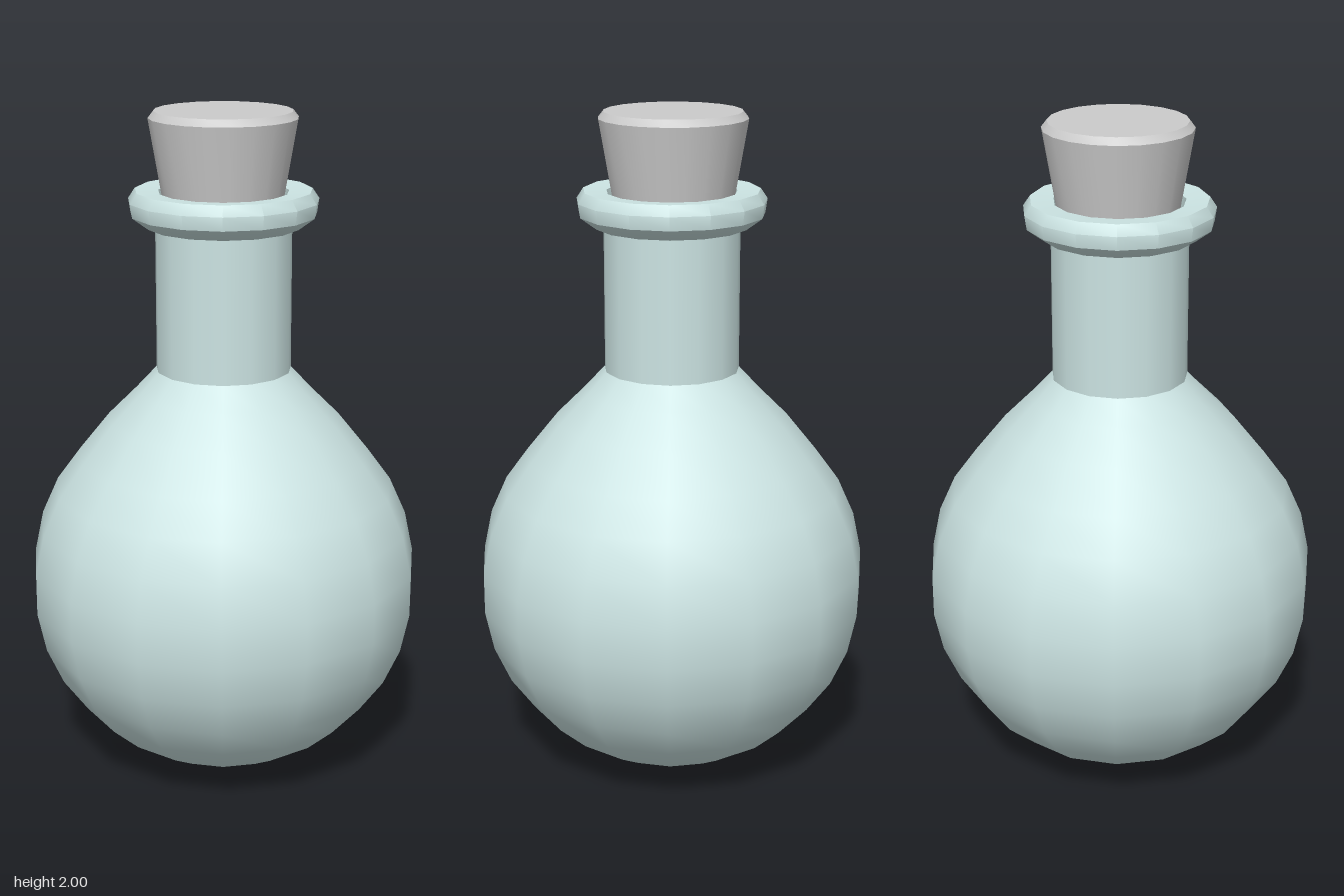
import * as THREE from 'three';
import { toCreasedNormals } from 'three/addons/utils/BufferGeometryUtils.js';

const glass = new THREE.MeshStandardMaterial({ color: 0xcce4e3, side: THREE.DoubleSide });
const grey = new THREE.MeshStandardMaterial({ color: 0xcccccc });

// Turned part from [radius, height] pairs, listed bottom to top on the outside
function turned(name, profile, sides, material, crease) {
  const points = profile.map(([r, y]) => new THREE.Vector2(r, y));
  let geometry = new THREE.LatheGeometry(points, sides, Math.PI / 2, Math.PI * 2);
  if (crease) geometry = toCreasedNormals(geometry, crease);
  const mesh = new THREE.Mesh(geometry, material);
  mesh.name = name;
  return mesh;
}

export function createModel() {
  const group = new THREE.Group();
  group.name = 'corkedFlask';

  // Round belly flowing into the straight neck
  const belly = [];
  const steps = 15;
  for (let i = 0; i <= 11; i++) {
    const a = (i / steps) * Math.PI;
    belly.push([0.5865 * Math.sin(a), 0.59 - 0.585 * Math.cos(a)]);
  }
  const body = turned('flaskBody', [
    ...belly, [0.345, 1.095], [0.26, 1.18], [0.2, 1.245],
  ], 15, glass);
  const neck = turned('neck', [[0.2, 1.245], [0.2, 1.68]], 15, glass);

  // Flared lip, turning down into the mouth
  const lip = turned('lip', [
    [0.2, 1.665], [0.225, 1.67], [0.272, 1.705], [0.278, 1.745], [0.258, 1.775],
    [0.19, 1.77], [0.18, 1.7], [0.18, 1.5],
  ], 15, glass, 0.75);

  // Tapered stopper with a chamfered top
  const cork = turned('cork', [
    [0, 1.55], [0.142, 1.55], [0.216, 1.98], [0.2, 2.0], [0, 2.0],
  ], 20, grey, 0.6);
  cork.position.z = -0.005;

  group.add(body, neck, lip, cork);
  for (const part of group.children) part.position.x = -0.0065;
  return group;
}
